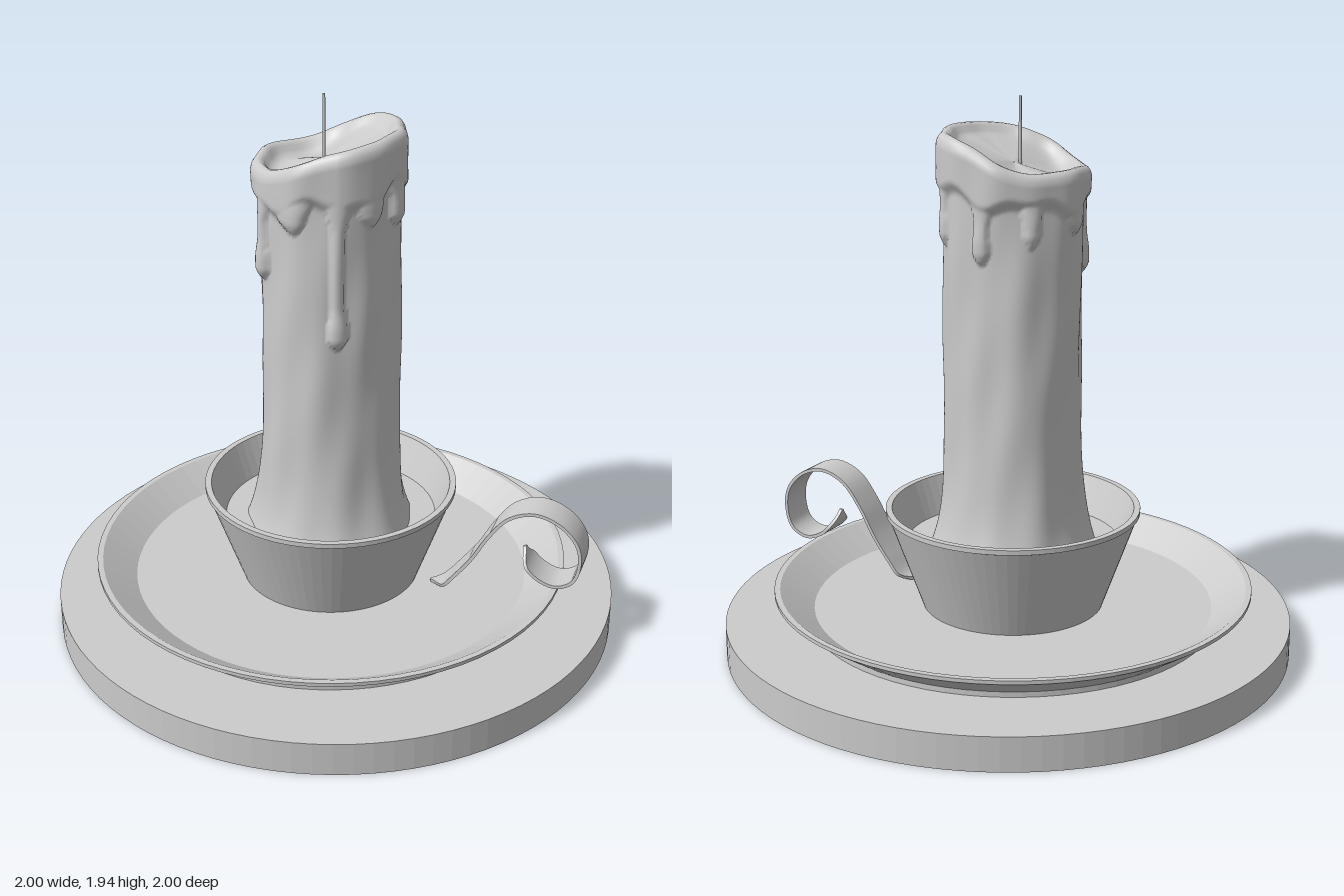
import * as THREE from 'three';
import { toCreasedNormals } from 'three/addons/utils/BufferGeometryUtils.js';

const CX = -0.02; // the dish and candle sit slightly off the plinth's centre
const flat = new THREE.MeshStandardMaterial({ color: 0xcccccc, flatShading: true });
const smooth = new THREE.MeshStandardMaterial({ color: 0xcccccc });

const step = THREE.MathUtils.smoothstep;
const lerp = THREE.MathUtils.lerp;

function add(group, name, geometry, material, x = 0, y = 0, z = 0) {
  const mesh = new THREE.Mesh(geometry, material);
  mesh.name = name;
  mesh.position.set(x, y, z);
  group.add(mesh);
  return mesh;
}

function lathe(points) {
  return new THREE.LatheGeometry(points.map(([r, y]) => new THREE.Vector2(r, y)), 72);
}

// Wax runs: angle in degrees (0 = +x, 90 = +z), lowest height, half width, thickness
const DRIPS = [
  [64, 1.13, 0.036, 0.034], [136, 1.33, 0.034, 0.03], [4, 1.52, 0.038, 0.026],
  [-45, 1.45, 0.03, 0.024], [-90, 1.41, 0.034, 0.024], [185, 1.5, 0.034, 0.024],
  [228, 1.47, 0.03, 0.022], [100, 1.53, 0.045, 0.024], [36, 1.55, 0.035, 0.024],
];

// Rim height: low on the right side, high on the left
function rimHeight(a) {
  const x = THREE.MathUtils.clamp(Math.cos(a) * 1.2, -1, 1);
  return 1.775 + 0.057 * Math.sin(x * Math.PI / 2) + 0.004 * Math.sin(4 * a + 1);
}

// Thickness of the melted wax lying on the candle's side
function waxThickness(a, y) {
  const edge = 1.61 + 0.03 * Math.cos(a) + 0.02 * Math.sin(5 * a + 0.6) + 0.012 * Math.sin(9 * a);
  let t = 0.023 * step(y, edge - 0.015, edge + 0.035);
  for (const [deg, low, width, thick] of DRIPS) {
    let d = a - deg * Math.PI / 180;
    d = Math.atan2(Math.sin(d), Math.cos(d)) * 0.25;
    const h = y - low;
    if (h < 0) continue;
    // a round bulb at the end, a slimmer neck above, widening into the band
    const bulb = Math.sqrt(Math.min(1, h / 0.04));
    const neck = 1 - 0.3 * step(h, 0.07, 0.16);
    const flare = 1 + 0.9 * step(y, edge - 0.07, edge + 0.03);
    const w = width * bulb * neck * flare;
    const q = 1 - (d / w) ** 2;
    if (q > 0) t = Math.max(t, thick * bulb * neck * Math.sqrt(q));
  }
  return t;
}

function sideRadius(a, y) {
  const ripple = 0.004 * Math.sin(3 * a + 2.5 * y) + 0.003 * Math.sin(7 * a - 3 * y + 1)
    + 0.002 * Math.sin(11 * a + 5 * y) + 0.0015 * Math.sin(5 * a + 14 * y);
  const foot = 0.054 * Math.exp(-(y - 0.38) / 0.14);
  return 0.236 + ripple + foot + waxThickness(a, y);
}

// One surface from the foot, up the side, over the rim and into the melted pool
function candleGeometry() {
  const around = 192, sideRows = 140;
  // inset from the outer wall, drop below the rim
  const rim = [[0.004, 0.02], [0.012, 0.008], [0.024, 0.001], [0.036, 0.002], [0.048, 0.012],
    [0.057, 0.027], [0.07, 0.038], [0.088, 0.044]];
  const pool = [0.8, 0.6, 0.4, 0.2, 0.02];
  const rows = sideRows + 1 + rim.length + pool.length;
  const pos = [], index = [];
  for (let j = 0; j < rows; j++) {
    for (let i = 0; i < around; i++) {
      const a = i / around * Math.PI * 2;
      const top = rimHeight(a), wallTop = top - 0.036;
      const wall = sideRadius(a, wallTop);
      let r, y;
      if (j <= sideRows) {
        y = lerp(0.375, wallTop, j / sideRows);
        r = sideRadius(a, y);
      } else if (j <= sideRows + rim.length) {
        const [inset, drop] = rim[j - sideRows - 1];
        r = wall - inset;
        y = top - drop;
      } else {
        const k = pool[j - sideRows - 1 - rim.length];
        r = (wall - 0.088) * k;
        y = lerp(1.722, top - 0.046, k);
      }
      pos.push(r * Math.cos(a), y, r * Math.sin(a));
      if (j < rows - 1) {
        const n = (i + 1) % around, p = j * around, q = p + around;
        index.push(p + i, q + i, p + n, p + n, q + i, q + n);
      }
    }
  }
  const g = new THREE.BufferGeometry();
  g.setAttribute('position', new THREE.Float32BufferAttribute(pos, 3));
  g.setIndex(index);
  g.computeVertexNormals();
  return g;
}

// Flat strip bent along a curve, with pointed ends
function handleGeometry() {
  const curve = new THREE.CatmullRomCurve3([
    [0.36, 0.162], [0.41, 0.176], [0.465, 0.24], [0.52, 0.315], [0.58, 0.42], [0.65, 0.505],
    [0.74, 0.538], [0.83, 0.51], [0.89, 0.445], [0.903, 0.37], [0.88, 0.295], [0.82, 0.265],
    [0.755, 0.285], [0.71, 0.33], [0.697, 0.375],
  ].map(([x, y]) => new THREE.Vector3(x, y, 0)));
  const n = 72, half = 0.006, pos = [], index = [];
  for (let i = 0; i <= n; i++) {
    const u = i / n, p = curve.getPointAt(u), t = curve.getTangentAt(u);
    const w = 0.06 * Math.max(0.08, Math.min(1, u / 0.06, (1 - u) / 0.05));
    for (const [s, z] of [[1, w], [1, -w], [-1, -w], [-1, w]]) {
      pos.push(p.x - t.y * half * s, p.y + t.x * half * s, z);
    }
    if (i < n) {
      for (let k = 0; k < 4; k++) {
        const a = i * 4 + k, b = i * 4 + (k + 1) % 4;
        index.push(a, a + 4, b, b, a + 4, b + 4);
      }
    }
  }
  const e = n * 4;
  index.push(0, 1, 2, 0, 2, 3, e, e + 2, e + 1, e, e + 3, e + 2);
  const g = new THREE.BufferGeometry();
  g.setAttribute('position', new THREE.Float32BufferAttribute(pos, 3));
  g.setIndex(index);
  return toCreasedNormals(g, 0.6);
}

export function createModel() {
  const model = new THREE.Group();
  model.name = 'candleHolder';

  // Round plinth
  add(model, 'plinth', new THREE.CylinderGeometry(1, 1, 0.12, 96), flat, 0, 0.06, 0);

  // Wide dish with sloping wall
  add(model, 'saucer', lathe([[0, 0.121], [0.723, 0.121], [0.723, 0.14], [0.843, 0.222],
    [0.843, 0.235], [0.823, 0.235], [0.705, 0.155], [0, 0.155]]), flat, CX);

  // Cup that holds the candle
  add(model, 'cup', lathe([[0, 0.15], [0.318, 0.15], [0.44, 0.492], [0.447, 0.495],
    [0.447, 0.512], [0.425, 0.512], [0.375, 0.38], [0, 0.38]]), flat, CX);

  // Curled finger handle
  const handleMaterial = smooth.clone();
  handleMaterial.side = THREE.DoubleSide;
  add(model, 'handle', handleGeometry(), handleMaterial, 0, 0, -0.005);

  // Melting candle and wick
  add(model, 'candle', candleGeometry(), smooth, CX, 0, 0.005);
  add(model, 'wick', new THREE.CylinderGeometry(0.005, 0.006, 0.24, 8), smooth, -0.032, 1.82, 0.027);

  return model;
}
